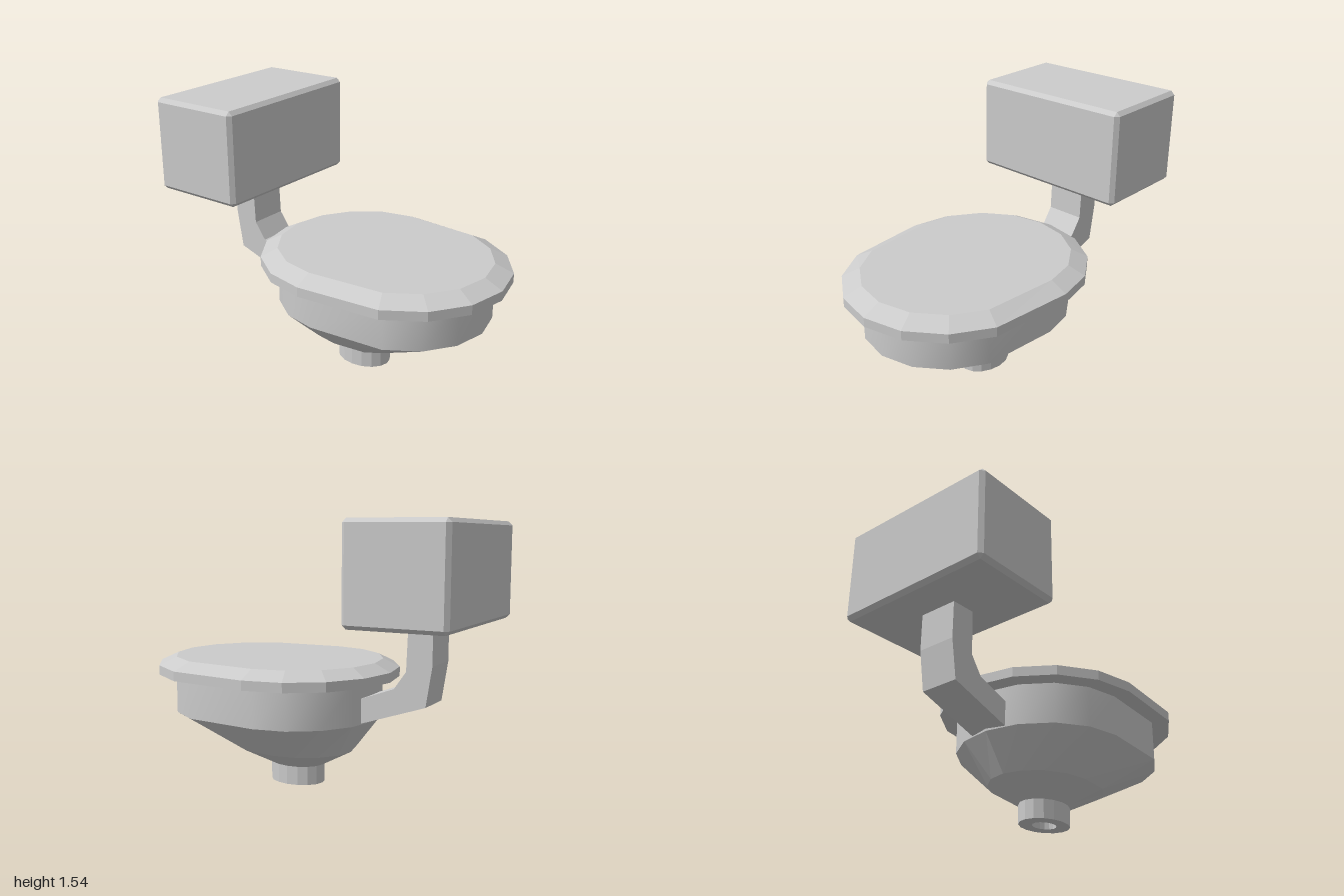
import * as THREE from 'three';
import { toCreasedNormals } from 'three/addons/utils/BufferGeometryUtils.js';
import { ConvexGeometry } from 'three/addons/geometries/ConvexGeometry.js';

const SIDES = 16;

// Egg-shaped ring: half width, then centre and radius in z for the front and back halves
function eggRing([y, width, frontC, frontR, backC, backR]) {
  return Array.from({ length: SIDES }, (_, i) => {
    const a = (i / SIDES) * Math.PI * 2;
    const c = Math.cos(a);
    const z = c > 1e-6 ? frontC + frontR * c : backC + backR * c;
    return [width * Math.sin(a), y, z];
  });
}

// Skin a list of rings; a ring of zero size closes an end
function loft(rows, crease = 0) {
  const rings = rows.map(eggRing);
  const pos = [];
  for (let r = 0; r < rings.length - 1; r++) {
    for (let i = 0; i < SIDES; i++) {
      const j = (i + 1) % SIDES;
      const a = rings[r][i], b = rings[r][j], c = rings[r + 1][j], d = rings[r + 1][i];
      const lowerPoint = rows[r][1] === 0, upperPoint = rows[r + 1][1] === 0;
      if (!lowerPoint) pos.push(...a, ...b, ...c);
      if (!upperPoint) pos.push(...a, ...c, ...d);
    }
  }
  const g = new THREE.BufferGeometry();
  g.setAttribute('position', new THREE.Float32BufferAttribute(pos, 3));
  g.computeVertexNormals();
  return crease ? toCreasedNormals(g, crease) : g;
}

// Box with chamfered edges, its top and one side slightly off square
function chamferedTank() {
  const half = [0.5, 0.28, 0.29], bevel = 0.023, pts = [];
  for (const sx of [-1, 1]) for (const sy of [-1, 1]) for (const sz of [-1, 1]) {
    for (let face = 0; face < 3; face++) {
      const p = [sx, sy, sz].map((s, k) => s * (half[k] - (k === face ? 0 : bevel)));
      const v = new THREE.Vector3(p[0] - 0.005, p[1] + 1.265, p[2] - 0.71);
      if (sy > 0) v.y -= 0.0075 * (1 - p[0] / half[0]);
      if (sx < 0) v.x -= sy > 0 ? 0 : 0.005;
      pts.push(v);
    }
  }
  return new ConvexGeometry(pts);
}

export function createModel() {
  const group = new THREE.Group();
  const flat = new THREE.MeshStandardMaterial({ color: 0xcccccc, flatShading: true, side: THREE.DoubleSide });
  const smooth = new THREE.MeshStandardMaterial({ color: 0xcccccc, side: THREE.DoubleSide });
  const add = (name, geometry, material = flat) => {
    const mesh = new THREE.Mesh(geometry, material);
    mesh.name = name;
    group.add(mesh);
  };

  // Hollow outlet at the bottom
  const nc = 0.118;
  add('outlet', loft([
    [0.09, 0, nc, 0, nc, 0],
    [0.09, 0.06, nc, 0.08, nc, 0.08],
    [0, 0.06, nc, 0.08, nc, 0.08],
    [0, 0.128, nc, 0.167, nc, 0.167],
    [0.11, 0.128, nc, 0.167, nc, 0.167],
  ]));

  // Bowl: faceted funnel below a smooth wall
  add('bowlFunnel', loft([
    [0.11, 0.128, nc, 0.167, nc, 0.167],
    [0.21, 0.29, 0.2, 0.29, 0.11, 0.345],
    [0.41, 0.505, 0.35, 0.55, 0.11, 0.49],
  ]));
  add('bowlWall', loft([
    [0.41, 0.505, 0.35, 0.55, 0.11, 0.49],
    [0.645, 0.505, 0.35, 0.55, 0.11, 0.49],
  ], 0.7), smooth);

  // Closed seat lid with a bevelled rim
  add('seatLid', loft([
    [0.64, 0, 0.2, 0, 0.2, 0],
    [0.64, 0.605, 0.35, 0.65, 0.11, 0.59],
    [0.695, 0.605, 0.35, 0.65, 0.11, 0.59],
    [0.743, 0.505, 0.35, 0.545, 0.11, 0.495],
    [0.743, 0, 0.2, 0, 0.2, 0],
  ]));

  // Bent square pipe from bowl to tank, drawn in (z, y) and extruded across x
  const profile = [[0.33, 0.41], [0.37, 0.42], [0.74, 0.545], [0.775, 0.77], [0.775, 1.0],
    [0.635, 1.0], [0.625, 0.73], [0.555, 0.63], [0.365, 0.56], [0.33, 0.55]];
  const pipe = new THREE.ExtrudeGeometry(
    new THREE.Shape(profile.map(([z, y]) => new THREE.Vector2(z, y))),
    { depth: 0.234, bevelEnabled: false });
  pipe.translate(0, 0, -0.117).rotateY(Math.PI / 2);
  add('flushPipe', pipe);

  add('tank', chamferedTank());
  return group;
}
